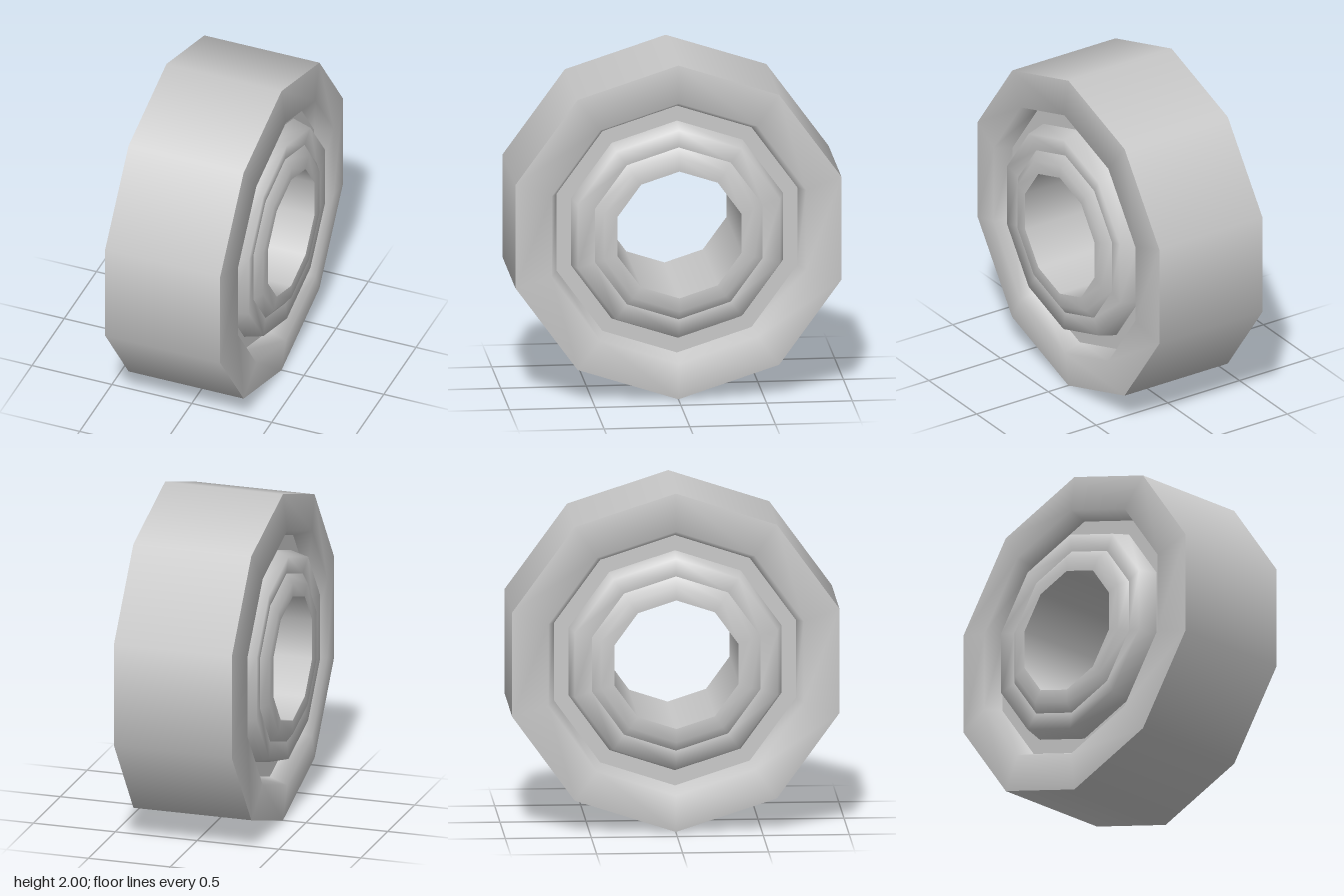
import * as THREE from 'three';

// Ten-sided wheel turning about the x axis, built from lathed bands.
// Each band is smooth inside and sharp where it meets the next one.
export function createModel() {
  const group = new THREE.Group();
  const grey = new THREE.MeshStandardMaterial({ color: 0xc8c8c8 });
  grey.name = 'plainGrey';

  // profile: [radius, x] points, listed so the surface lies on their right
  function band(name, profile) {
    const points = profile.map(([r, x]) => new THREE.Vector2(r, x));
    const geometry = new THREE.LatheGeometry(points, 10, Math.PI / 2);
    geometry.rotateZ(-Math.PI / 2);
    const mesh = new THREE.Mesh(geometry, grey);
    mesh.name = name;
    mesh.position.y = 1;
    group.add(mesh);
  }

  band('tread', [[1, -0.36], [1, 0.36]]);
  band('axleBore', [[0.38, 0.42], [0.38, -0.42]]);

  // Bands of one side, from the tread inwards
  const side = {
    Sidewall: [[1, 0.36], [0.78, 0.387], [0.74, 0.28]],
    GrooveFloor: [[0.74, 0.28], [0.65, 0.28]],
    RimRing: [[0.65, 0.28], [0.62, 0.394], [0.515, 0.382]],
    Hub: [[0.515, 0.382], [0.46, 0.422], [0.38, 0.42]],
  };
  for (const [name, profile] of Object.entries(side)) {
    band('left' + name, profile);
    band('right' + name, profile.map(([r, x]) => [r, -x]).reverse());
  }
  return group;
}
